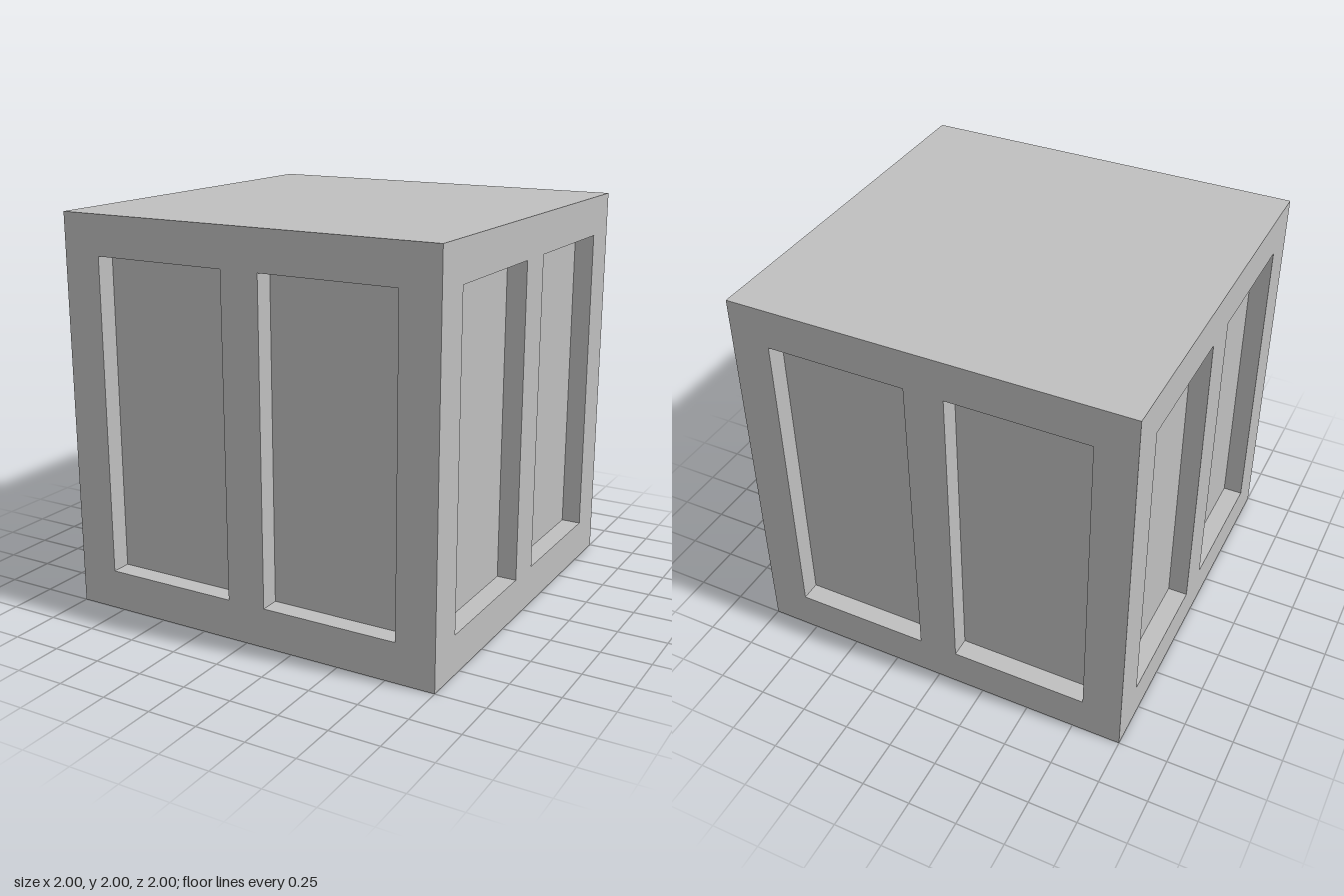
import * as THREE from 'three';

export function createModel() {
  const group = new THREE.Group();
  group.name = 'panelledCube';
  const grey = new THREE.MeshStandardMaterial({ color: 0xbfbfbf });
  grey.name = 'light grey';

  const half = 1, size = 2, border = 0.2, depth = 0.1;
  const inner = 0.1, outer = 0.8; // edges of each recess along a side

  const add = (name, geometry, y) => {
    const mesh = new THREE.Mesh(geometry, grey);
    mesh.name = name;
    mesh.position.y = y;
    group.add(mesh);
  };

  // Plan of the middle: a square with two notches in every side
  const side = [
    [-half, half], [-outer, half], [-outer, half - depth], [-inner, half - depth], [-inner, half],
    [inner, half], [inner, half - depth], [outer, half - depth], [outer, half],
  ];
  const outline = [];
  for (let i = 0; i < 4; i++) {
    for (const [x, y] of side) {
      outline.push(new THREE.Vector2(x, y).rotateAround(new THREE.Vector2(), -i * Math.PI / 2));
    }
  }
  const body = new THREE.ExtrudeGeometry(new THREE.Shape(outline), {
    depth: size - 2 * border, bevelEnabled: false,
  });
  body.rotateX(-Math.PI / 2);
  add('recessedBody', body, border);

  // Plain slabs close the recesses above and below
  add('bottomSlab', new THREE.BoxGeometry(size, border, size), border / 2);
  add('topSlab', new THREE.BoxGeometry(size, border, size), size - border / 2);

  return group;
}
